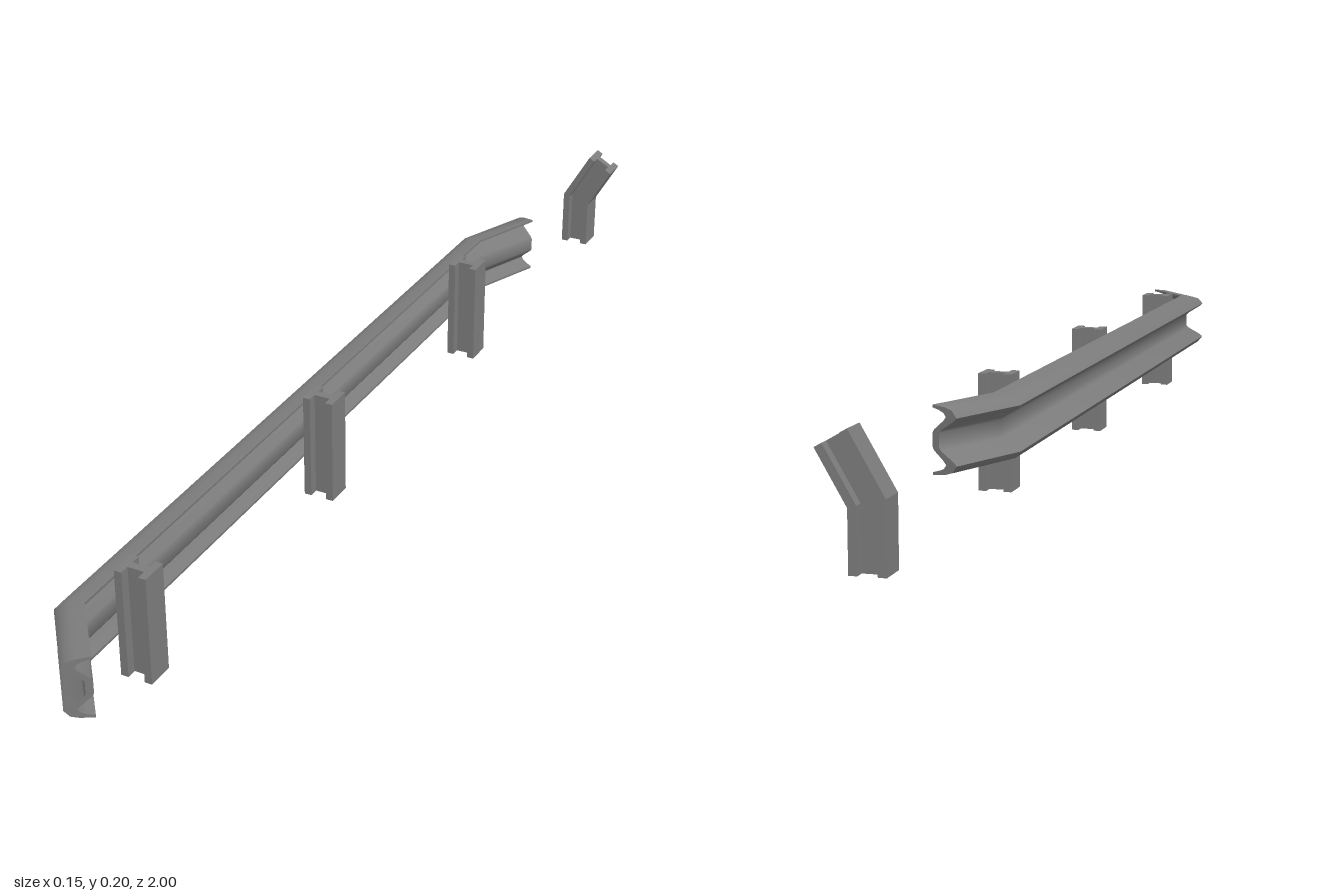
import * as THREE from 'three';
import { toCreasedNormals } from 'three/addons/utils/BufferGeometryUtils.js';

const material = new THREE.MeshStandardMaterial({ color: 0x7c7c7c });

// Skin a closed counter-clockwise profile through stations, each a function (u, v) => [x, y, z].
function loft(profile, stations, crease) {
  const n = profile.length;
  const positions = stations.flatMap(place => profile.flatMap(([u, v]) => place(u, v)));
  const index = [];
  for (let s = 0; s < stations.length - 1; s++) {
    for (let i = 0; i < n; i++) {
      const j = (i + 1) % n;
      const a = s * n + i, b = s * n + j;
      index.push(a, b, b + n, a, b + n, a + n);
    }
  }
  const end = (stations.length - 1) * n;
  const contour = profile.map(([u, v]) => new THREE.Vector2(u, v));
  for (const [a, b, c] of THREE.ShapeUtils.triangulateShape(contour, [])) {
    index.push(c, b, a, end + a, end + b, end + c);
  }
  const geometry = new THREE.BufferGeometry();
  geometry.setAttribute('position', new THREE.Float32BufferAttribute(positions, 3));
  geometry.setIndex(index);
  return toCreasedNormals(geometry, crease);
}

function addMesh(group, name, geometry) {
  const mesh = new THREE.Mesh(geometry, material);
  mesh.name = name;
  group.add(mesh);
  return mesh;
}

// W-shaped sheet: upper half of the inner and outer faces, mirrored about the middle
const MID = 0.1245, OUTER = -0.075, INNER = -0.03;
function railProfile() {
  const inner = [[-0.03, 0.011], [-0.033, 0.016], [-0.050, 0.030], [-0.055, 0.036],
    [-0.051, 0.042], [-0.042, 0.046], [-0.03, 0.049]];
  const outer = [[-0.03, 0.053], [-0.053, 0.051], [-0.066, 0.047], [-0.075, 0.036],
    [-0.070, 0.031], [-0.046, 0.016], [-0.042, 0.011]];
  const flip = points => points.map(([x, y]) => [x, -y]).reverse();
  return [...flip(inner), ...inner, ...outer, ...flip(outer)]
    .map(([x, y]) => [x, y + MID]);
}

// A rail station runs from its outer edge to its inner edge in plan (x, z).
const railStation = ([x0, z0], [x1, z1]) => (x, y) => {
  const t = (x - OUTER) / (INNER - OUTER);
  return [x0 + (x1 - x0) * t, y, z0 + (z1 - z0) * t];
};

// I-beam section in (z, x)
const W = 0.024, H = 0.0275, FLANGE = 0.013, WEB = 0.007;
const beam = [
  [-W, -H], [W, -H], [W, -H + FLANGE], [WEB, -H + FLANGE],
  [WEB, H - FLANGE], [W, H - FLANGE], [W, H], [-W, H],
  [-W, H - FLANGE], [-WEB, H - FLANGE], [-WEB, -H + FLANGE], [-W, -H + FLANGE],
];

export function createModel() {
  const model = new THREE.Group();
  model.name = 'guardRail';

  // Rail with both ends turned away from the road
  addMesh(model, 'rail', loft(railProfile(), [
    railStation([-0.018, -0.668], [0.024, -0.654]),
    railStation([OUTER, -0.527], [INNER, -0.519]),
    railStation([OUTER, 0.883], [INNER, 0.868]),
    railStation([0.015, 1.0], [0.051, 0.973]),
  ], 1));

  // Upright posts
  const post = loft(beam, [
    (z, x) => [x, 0, z],
    (z, x) => [x, 0.19, z],
  ], 0.3);
  for (const z of [0.77, 0.188, -0.393]) {
    addMesh(model, 'post', post).position.z = z;
  }

  // Separate post, mitred and bent sideways
  const bend = Math.PI / 6, bendY = 0.1, length = 0.1;
  const sin = Math.sin(bend), cos = Math.cos(bend);
  addMesh(model, 'bentPost', loft(beam, [
    (z, x) => [x, 0, z],
    (z, x) => [x, bendY - x * Math.tan(bend / 2), z],
    (z, x) => [length * sin + x * cos, bendY + length * cos - x * sin, z],
  ], 0.3)).position.z = -0.976;

  return model;
}
